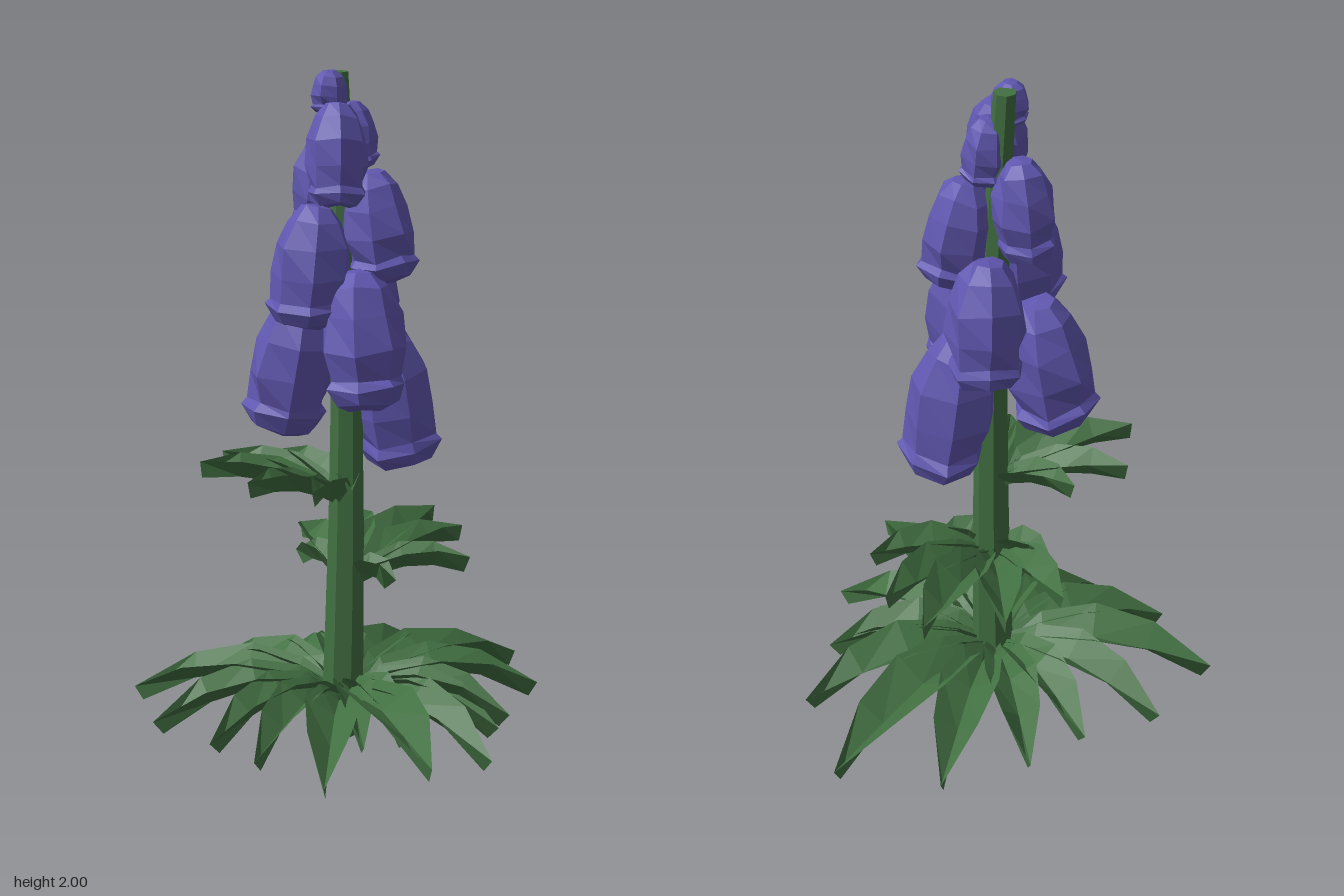
import * as THREE from 'three';

const V = (x, y, z) => new THREE.Vector3(x, y, z);
const UP = V(0, 1, 0);
const STEM_TOP = 1.99;

// Centre of the gently bent stem at height y
function stemAt(y) {
  const t = y / STEM_TOP;
  return V(-0.067 + 0.016 * Math.sin(Math.PI * t) + 0.01 * t, y, -0.09 - 0.04 * t * t * t);
}

// Folded, arched leaf blade: V-shaped cross-sections set square to a curve from base to tip
function leafGeometry(base, tip, halfWidth, arch) {
  const stations = [0, 0.2, 0.45, 0.72, 1];
  const widths = [0.25, 0.68, 1, 0.74, 0];
  const folds = [0.035, 0.05, 0.06, 0.06, 0.05];
  const side = tip.clone().sub(base).setY(0).normalize().cross(UP);
  const normalAt = (t) => {
    const tangent = tip.clone().sub(base);
    tangent.y += arch * 4 * (1 - 2 * t);
    return side.clone().cross(tangent).normalize();
  };
  // the keel stops short so the raised edges meet above the tip
  const lean = normalAt(1).setY(0).multiplyScalar(folds[4]);
  const keelTip = tip.clone().sub(lean);
  const pos = [], idx = [];
  stations.forEach((t, i) => {
    const keel = base.clone().lerp(keelTip, t);
    keel.y += arch * 4 * t * (1 - t);
    for (const s of [-1, 0, 1]) {
      const p = keel.clone().addScaledVector(side, s * widths[i] * halfWidth);
      if (s) p.addScaledVector(normalAt(t), folds[i]);
      pos.push(p.x, p.y, p.z);
    }
    if (i === 0) return;
    for (const k of [0, 1]) {
      const a = (i - 1) * 3 + k, b = a + 3;
      idx.push(a, a + 1, b, a + 1, b + 1, b);
    }
  });
  const g = new THREE.BufferGeometry();
  g.setAttribute('position', new THREE.Float32BufferAttribute(pos, 3));
  g.setIndex(idx);
  g.computeVertexNormals();
  return g;
}

// Hooded bell: faceted lathe with a flared lip, slightly uneven
function bellGeometry(radius, height, seed) {
  const profile = [[0, 0.05], [0.5, 0], [0.78, 0.03], [0.98, 0.14], [0.87, 0.2],
    [1, 0.4], [0.93, 0.65], [0.7, 0.86], [0.38, 0.98], [0, 1]];
  const g = new THREE.LatheGeometry(profile.map(([r, y]) => new THREE.Vector2(r, y)), 7);
  const p = g.attributes.position;
  for (let i = 0; i < p.count; i++) {
    const x = p.getX(i), y = p.getY(i), z = p.getZ(i);
    const k = 1 + 0.07 * Math.sin(y * 17 + x * 4 + z * 3 + seed);
    const lift = 0.03 * Math.sin(x * 5 + z * 4 + seed) * Math.hypot(x, z);
    p.setXYZ(i, x * k * radius, (y - 0.5 + lift) * height, z * k * radius);
  }
  g.computeVertexNormals();
  return g;
}

export function createModel() {
  const model = new THREE.Group();
  model.name = 'flowerSpike';
  const green = new THREE.MeshStandardMaterial({ color: 0x427042, flatShading: true, side: THREE.DoubleSide });
  green.name = 'leaf green';
  const purple = new THREE.MeshStandardMaterial({ color: 0x6057b0, flatShading: true });
  purple.name = 'petal purple';

  const add = (parent, name, geometry, material) => {
    const mesh = new THREE.Mesh(geometry, material);
    mesh.name = name;
    parent.add(mesh);
    return mesh;
  };
  const group = (name) => {
    const g = new THREE.Group();
    g.name = name;
    model.add(g);
    return g;
  };

  // Stem
  const stem = new THREE.CylinderGeometry(0.032, 0.065, STEM_TOP, 7, 6);
  stem.translate(0, STEM_TOP / 2, 0);
  const sp = stem.attributes.position;
  for (let i = 0; i < sp.count; i++) {
    const c = stemAt(sp.getY(i));
    sp.setXYZ(i, sp.getX(i) + c.x, c.y, sp.getZ(i) + c.z);
  }
  add(model, 'stem', stem, green);

  // Leaf fans: base height, arch, and tips as [x, y, z]
  const fan = (name, baseY, arch, tips) => {
    const g = group(name);
    tips.forEach(([x, y, z]) => {
      const c = stemAt(baseY);
      const tip = V(x, y, z);
      const out = tip.clone().sub(c).setY(0);
      const base = c.clone().addScaledVector(out.clone().normalize(), 0.03);
      add(g, 'leaf', leafGeometry(base, tip, 0.022 + 0.108 * out.length(), arch), green);
    });
  };
  fan('basalLeaves', 0.11, 0.085, [
    [-0.6, 0.03, -0.495], [-0.33, 0.03, -0.6], [-0.08, 0.04, -0.57], [0.12, 0.03, -0.58],
    [0.39, 0.03, -0.52], [0.625, 0.03, -0.31], [0.55, 0.05, 0], [0.36, 0.05, 0.195],
    [0.31, 0.03, 0.225], [0.185, 0.03, 0.44], [-0.33, 0.03, 0.435], [-0.455, 0.04, 0.205],
    [-0.53, 0.04, 0.03], [-0.63, 0.03, -0.205], [-0.13, 0.05, 0.24], [0, 0.05, 0.25]]);
  fan('frontLeaf', 0.11, 0.075, [[-0.075, 0.11, 0.6]]);
  fan('middleLeaves', 0.46, 0.042, [
    [0.39, 0.51, -0.22], [0.38, 0.52, -0.41], [0.16, 0.51, -0.5], [0.31, 0.49, 0.01],
    [-0.05, 0.5, -0.48], [0.06, 0.47, 0.03], [-0.14, 0.49, -0.28]]);
  fan('upperLeaves', 0.72, 0.032, [
    [-0.46, 0.81, -0.22], [-0.34, 0.79, -0.37], [-0.16, 0.78, -0.36],
    [-0.38, 0.79, -0.03], [-0.22, 0.77, 0.07], [-0.08, 0.76, 0.03]]);

  // Flowers: x, z, bottom, top, radius, outward tilt
  const flowers = group('flowers');
  [
    [0.092, -0.092, 0.83, 1.27, 0.13, 0.16],
    [-0.182, -0.175, 0.94, 1.35, 0.128, 0.17],
    [-0.052, 0.045, 1.05, 1.45, 0.122, 0.17],
    [0.035, -0.19, 1.16, 1.53, 0.114, 0.1],
    [-0.173, -0.05, 1.28, 1.63, 0.115, 0.16],
    [0.025, -0.035, 1.4, 1.72, 0.104, 0.14],
    [-0.08, -0.195, 1.52, 1.81, 0.088, 0.12],
    [-0.11, -0.002, 1.63, 1.92, 0.09, 0.14],
    [-0.025, -0.088, 1.72, 1.91, 0.068, 0.1],
    [-0.095, -0.095, 1.88, 2, 0.054, 0],
  ].forEach(([x, z, y0, y1, r, tilt], i) => {
    const mid = (y0 + y1) / 2;
    const out = V(x, mid, z).sub(stemAt(mid)).setY(0).normalize();
    const bell = add(flowers, 'bell', bellGeometry(r, y1 - y0, i * 1.7), purple);
    bell.position.set(x, mid, z);
    // top leans in toward the stem, mouth swings outward
    bell.quaternion.setFromAxisAngle(out.clone().cross(UP).normalize(), tilt);
    bell.rotateY(i * 2.4);

    // Short stalk joining the bell to the stem
    const a = stemAt(Math.min(y1 - 0.12, 1.9));
    const b = V(x, y1 - 0.05, z).addScaledVector(out, -tilt * (y1 - y0) * 0.4);
    add(flowers, 'stalk', new THREE.TubeGeometry(new THREE.LineCurve3(a, b), 1, 0.012, 4), green);
  });

  return model;
}
